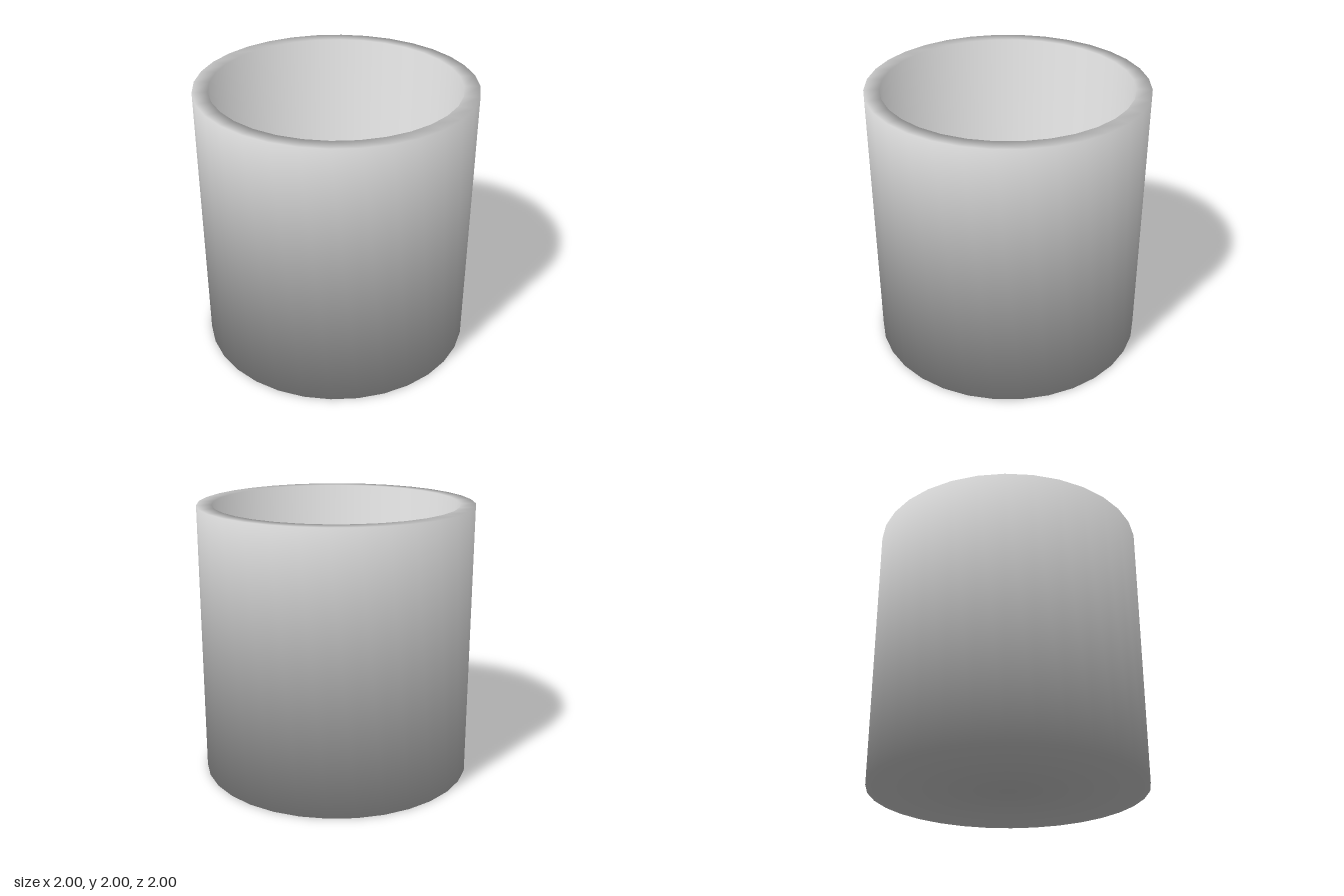
import * as THREE from 'three';

const SIDES = 32;
const OUTER = 1, INNER = 0.89, HEIGHT = 2, FLOOR = 0.11;

// Profile from the underside centre, up the outside, over the rim and down to the floor.
// Each row: radius, height, radial normal, vertical normal (softly shared at the corners).
const PROFILE = [
  [0, 0, 0, -0.71],
  [OUTER, 0, 0.7, -0.71],
  [OUTER, HEIGHT, 0.7, 0.71],
  [INNER, HEIGHT, -0.7, 0.71],
  [INNER, FLOOR, -0.7, 0.71],
  [0, FLOOR, 0, 0.71],
];

export function createModel() {
  const group = new THREE.Group();
  group.name = 'cup';

  const points = PROFILE.map(([r, y]) => new THREE.Vector2(r, y));
  const geometry = new THREE.LatheGeometry(points, SIDES);

  // Smooth normals that run across the rim, base and floor edges
  const normals = geometry.attributes.normal;
  for (let i = 0; i <= SIDES; i++) {
    const a = (i / SIDES) * Math.PI * 2;
    PROFILE.forEach(([, , nr, ny], j) => {
      normals.setXYZ(i * PROFILE.length + j, nr * Math.sin(a), ny, nr * Math.cos(a));
    });
  }

  const material = new THREE.MeshStandardMaterial({ color: 0xcccccc, side: THREE.DoubleSide });
  const body = new THREE.Mesh(geometry, material);
  body.name = 'cupBody';
  group.add(body);
  return group;
}
